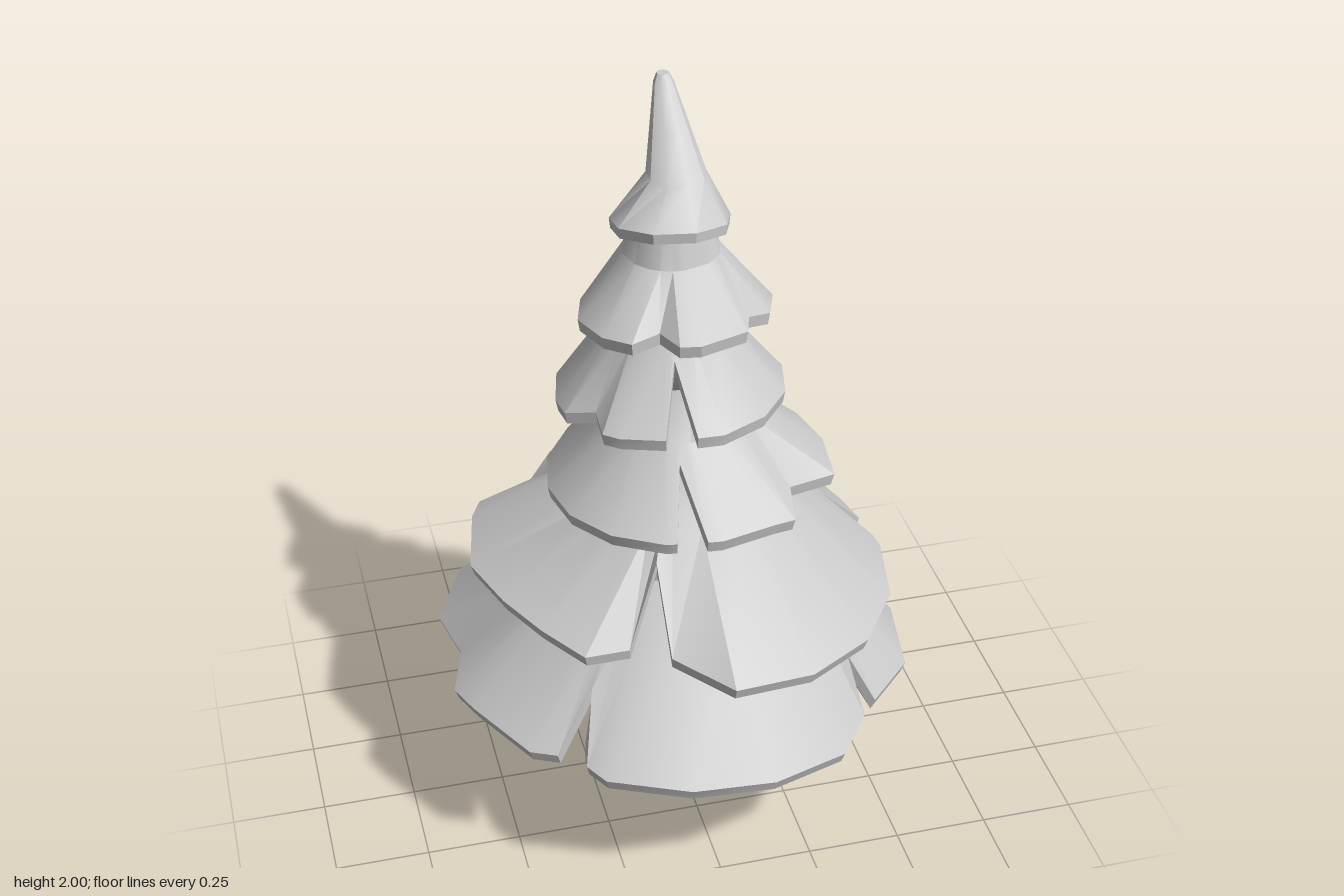
import * as THREE from 'three';
import { toCreasedNormals } from 'three/addons/utils/BufferGeometryUtils.js';

const material = new THREE.MeshStandardMaterial({ color: 0xcccccc, side: THREE.DoubleSide });
const { degToRad, lerp } = THREE.MathUtils;

// Skin a stack of equally long point loops; optionally close the first and last loop.
function loft(name, loops, { capStart = false, capEnd = false, crease = 0.55 } = {}) {
  const n = loops[0].length;
  const points = loops.flat();
  const index = [];
  for (let r = 0; r < loops.length - 1; r++) {
    for (let i = 0; i < n; i++) {
      const a = r * n + i, b = r * n + (i + 1) % n;
      index.push(a, a + n, b, b, a + n, b + n);
    }
  }
  const cap = (start, flip) => {
    const centre = new THREE.Vector3();
    for (let i = 0; i < n; i++) centre.addScaledVector(points[start + i], 1 / n);
    const c = points.push(centre) - 1;
    for (let i = 0; i < n; i++) {
      const a = start + i, b = start + (i + 1) % n;
      index.push(c, flip ? a : b, flip ? b : a);
    }
  };
  if (capStart) cap(0, true);
  if (capEnd) cap((loops.length - 1) * n, false);
  const geometry = new THREE.BufferGeometry().setFromPoints(points);
  geometry.setIndex(index);
  const mesh = new THREE.Mesh(toCreasedNormals(geometry, crease), material);
  mesh.name = name;
  return mesh;
}

// Point on a level ring [x, y, z, radius]; angles run from +x towards +z.
const ringPoint = ([x, y, z, r], degrees) => {
  const a = degToRad(degrees);
  return new THREE.Vector3(x + r * Math.cos(a), y, z + r * Math.sin(a));
};

// A hollow skirt rising from a tilted, notched rim through the rings above it.
// Each notch is [angle, half width, depth 0..1 towards the first ring, corner scale, inner scale].
function skirt(name, { rim, rings, sides, tilt, thick, notches = [], capEnd = false }) {
  const gap = (a, b) => Math.abs(((a - b + 540) % 360) - 180);
  const marks = Array.from({ length: sides }, (_, i) => ({ angle: (i * 360) / sides, depth: 0, scale: 1 }))
    .filter(({ angle }) => notches.every(([at, half]) => gap(angle, at) > half + 4));
  for (const [angle, half, depth, scale, inner = 1] of notches) {
    marks.push({ angle: angle - half, depth: 0, scale }, { angle, depth, scale: inner },
      { angle: angle + half, depth: 0, scale });
  }
  marks.sort((a, b) => a.angle - b.angle);

  const edge = marks.map(({ angle, depth, scale }) => {
    const p = ringPoint([rim[0], rim[1], rim[2], rim[3] * scale], angle);
    p.y += tilt[0] * p.x + tilt[1] * p.z;
    return p.lerp(ringPoint(rings[0], angle), depth);
  });
  const outer = [edge, ...rings.map((ring) => marks.map(({ angle }) => ringPoint(ring, angle)))];
  const inner = outer.map((loop) =>
    loop.map((p) => new THREE.Vector3(p.x * 0.98, p.y - thick, p.z * 0.98)));
  return loft(name, [...inner.reverse(), ...outer], { capEnd });
}

// Branch tier: the skirt ends in a narrower collar hidden under the next tier.
function branches(name, rim, neck, tilt, sides, notches) {
  const collar = [neck[0], neck[1] + 0.13, neck[2], neck[3] * 0.74];
  return skirt(name, { rim, rings: [neck, collar], sides, tilt, thick: 0.033, notches });
}

// Bent trunk, tapering up into the branches
function trunk() {
  const sections = [[-0.085, 0, -0.01, 0.174], [-0.086, 0.26, -0.01, 0.138],
    [-0.055, 0.38, -0.01, 0.126], [0, 0.65, -0.01, 0.11], [0.01, 0.9, -0.01, 0.1]];
  const loops = sections.map((ring) => Array.from({ length: 14 }, (_, i) => ringPoint(ring, (i * 360) / 14)));
  return loft('trunk', loops, { capStart: true, capEnd: true, crease: 0.7 });
}

// Pointed top, leaning backwards
function treeTop() {
  const base = [0, 1.697, -0.04, 0.154], tip = [0.024, 1.98, -0.203, 0.026];
  const bend = [0.02, 1.8, -0.062, 0.076];
  const middle = bend.map((v, i) => lerp(v, tip[i], 0.5));
  const end = [0.024, 2, -0.212, 0.016];
  return skirt('treeTop', {
    rim: base, rings: [bend, middle, tip, end], sides: 9, tilt: [-0.04, 0.23], thick: 0.028, capEnd: true,
  });
}

export function createModel() {
  const tree = new THREE.Group();
  tree.name = 'tree';
  tree.add(
    trunk(),
    branches('bottomBranches', [0, 0.41, 0, 0.637], [0, 0.68, 0, 0.39], [-0.07, -0.02], 18,
      [[41, 3.5, 0.5, 0.92], [130, 4, 0.6, 0.95], [182, 14, 0, 1.02, 0.93], [220, 3.5, 0.4, 1.03],
        [271, 18, 0.06, 1.03, 0.87], [342, 16, 0, 1, 0.91]]),
    branches('lowerBranches', [0.012, 0.695, 0.015, 0.568], [0.01, 0.94, -0.01, 0.255], [-0.12, -0.03], 16,
      [[114, 7, 0.78, 0.79], [147, 16, 0, 0.94, 0.92], [227, 17, 0.06, 1, 0.89],
        [307, 15, 0.1, 1.04, 0.84], [351, 4, 0.47, 0.99]]),
    branches('middleBranches', [0.03, 0.985, 0.01, 0.372], [0, 1.16, -0.01, 0.185], [0.04, 0.02], 16,
      [[43, 17, 0.06, 1.05, 0.84], [102, 6, 0.8, 0.99], [308, 14, 0.06, 1.02, 0.8]]),
    branches('upperMiddleBranches', [-0.01, 1.23, -0.01, 0.3], [-0.015, 1.42, -0.025, 0.152], [0.02, 0.04], 14,
      [[98, 8, 0.85, 0.96], [152, 14, 0.08, 1, 0.86], [257, 14, 0.05, 1, 0.9]]),
    branches('upperBranches', [0, 1.463, 0.015, 0.252], [0, 1.61, -0.035, 0.125], [0, 0.13], 12,
      [[42, 15, 0.06, 0.95, 0.83], [116, 14, 0.08, 0.98, 0.78], [320, 14, 0.05, 0.96, 0.88]]),
    treeTop(),
  );
  return tree;
}
